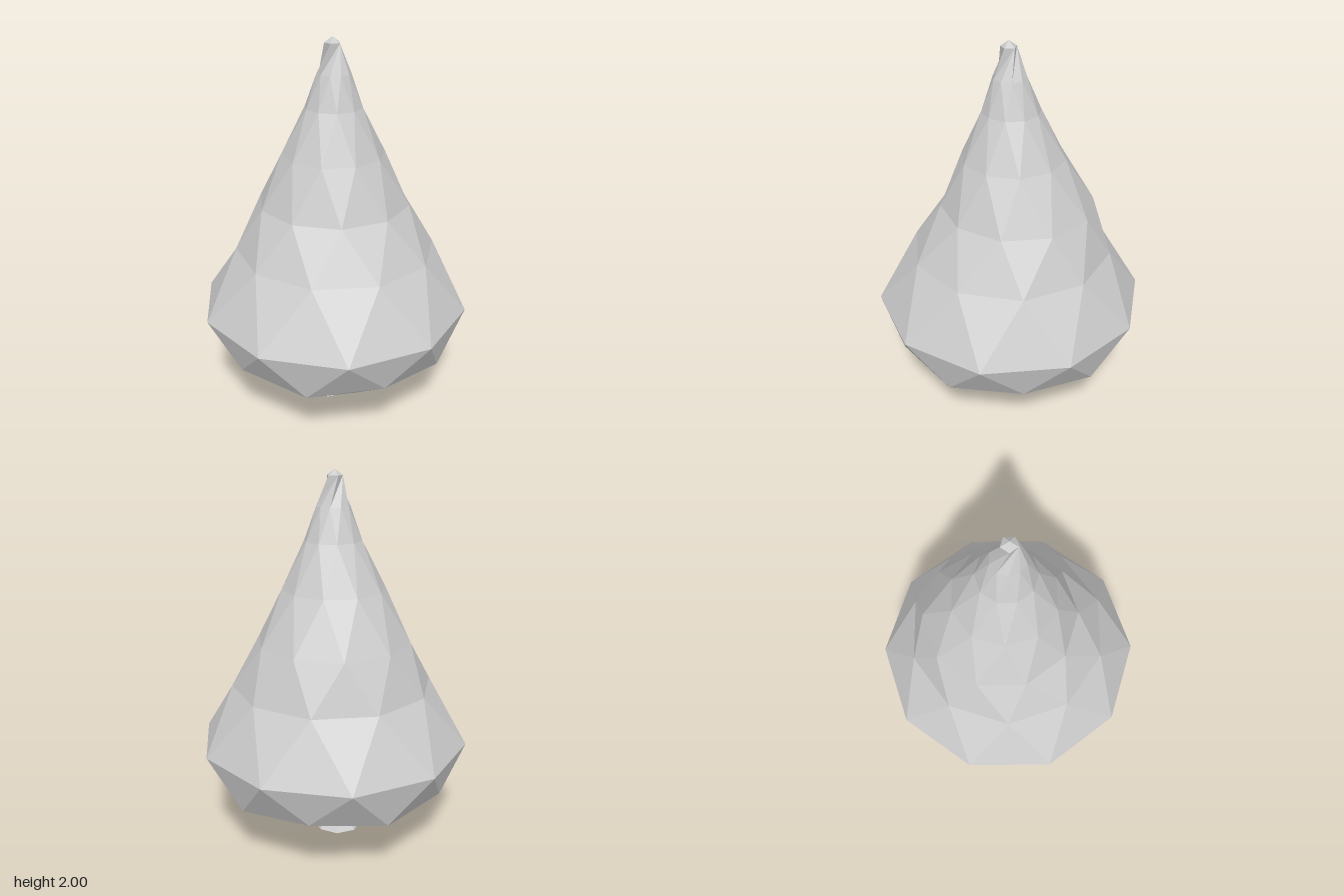
import * as THREE from 'three';

const STEP = Math.PI / 10;
const grey = (extra = {}) => new THREE.MeshStandardMaterial({ color: 0xcccccc, flatShading: true, ...extra });

// Horizontal ring of n points around (cx, cz); angle runs from +z towards +x
function ring(n, y, r, start, cx = 0, cz = 0) {
  return Array.from({ length: n }, (_, k) => {
    const a = start + (k * Math.PI * 2) / n;
    return new THREE.Vector3(cx + r * Math.sin(a), y, cz + r * Math.cos(a));
  });
}

function facetMesh(name, triangles, material) {
  const geometry = new THREE.BufferGeometry().setFromPoints(triangles);
  geometry.computeVertexNormals();
  const mesh = new THREE.Mesh(geometry, material);
  mesh.name = name;
  return mesh;
}

// Foliage: ten-sided rings, each turned half a step, closed by five-sided caps
function foliage() {
  const levels = [ // y, radius, centre x, centre z
    [0.335, 0.635, 0, 0],
    [0.57, 0.725, 0, 0],
    [0.885, 0.535, 0.01, 0],
    [1.135, 0.405, 0.025, -0.03],
    [1.405, 0.27, 0.01, -0.015],
    [1.65, 0.15, 0.005, -0.005],
    [1.82, 0.087, 0, 0],
  ];
  const rings = levels.map(([y, r, cx, cz], i) => ring(10, y, r, (i + 1) * STEP, cx, cz));
  rings[0].forEach((p, k) => { if (k % 2) p.y = 0.365; });
  const tris = [];

  // Zigzag bands between neighbouring rings
  for (let i = 0; i < rings.length - 1; i++) {
    const L = rings[i], U = rings[i + 1];
    for (let k = 0; k < 10; k++) {
      const n = (k + 1) % 10;
      tris.push(L[k], L[n], U[k], L[n], U[n], U[k]);
    }
  }

  // Underside and tip
  const first = rings[0], last = rings[rings.length - 1];
  const B = ring(5, 0.203, 0.39, 3 * STEP, -0.06);
  const T = ring(5, 1.97, 0.042, 9 * STEP, -0.008);
  const bottom = new THREE.Vector3(-0.03, 0.15, 0);
  const tip = new THREE.Vector3(-0.01, 2, 0);
  for (let j = 0; j < 5; j++) {
    const n = (j + 1) % 5, a = 2 * j, b = a + 1, c = (a + 2) % 10;
    tris.push(B[j], first[c], first[b], B[j], first[b], first[a], B[j], B[n], first[c], bottom, B[n], B[j]);
    const t = (j + 4) % 5; // the tip ring starts one vertex earlier
    const u = (t + 1) % 5;
    const p = T[(t + 2) % 5], q = T[(u + 2) % 5];
    tris.push(last[a], last[b], p, last[b], last[c], p, last[c], q, p, p, q, tip);
  }
  return facetMesh('foliage', tris, grey());
}

// Trunk: open, flared tube
function trunk() {
  const profile = [[0.135, 0], [0.075, 0.1], [0.08, 0.18]].map(([r, y]) => new THREE.Vector2(r, y));
  const mesh = new THREE.Mesh(new THREE.LatheGeometry(profile, 8), grey({ side: THREE.DoubleSide }));
  mesh.name = 'trunk';
  mesh.position.x = -0.035;
  return mesh;
}

export function createModel() {
  const group = new THREE.Group();
  group.name = 'tree';
  group.add(foliage(), trunk());
  return group;
}
